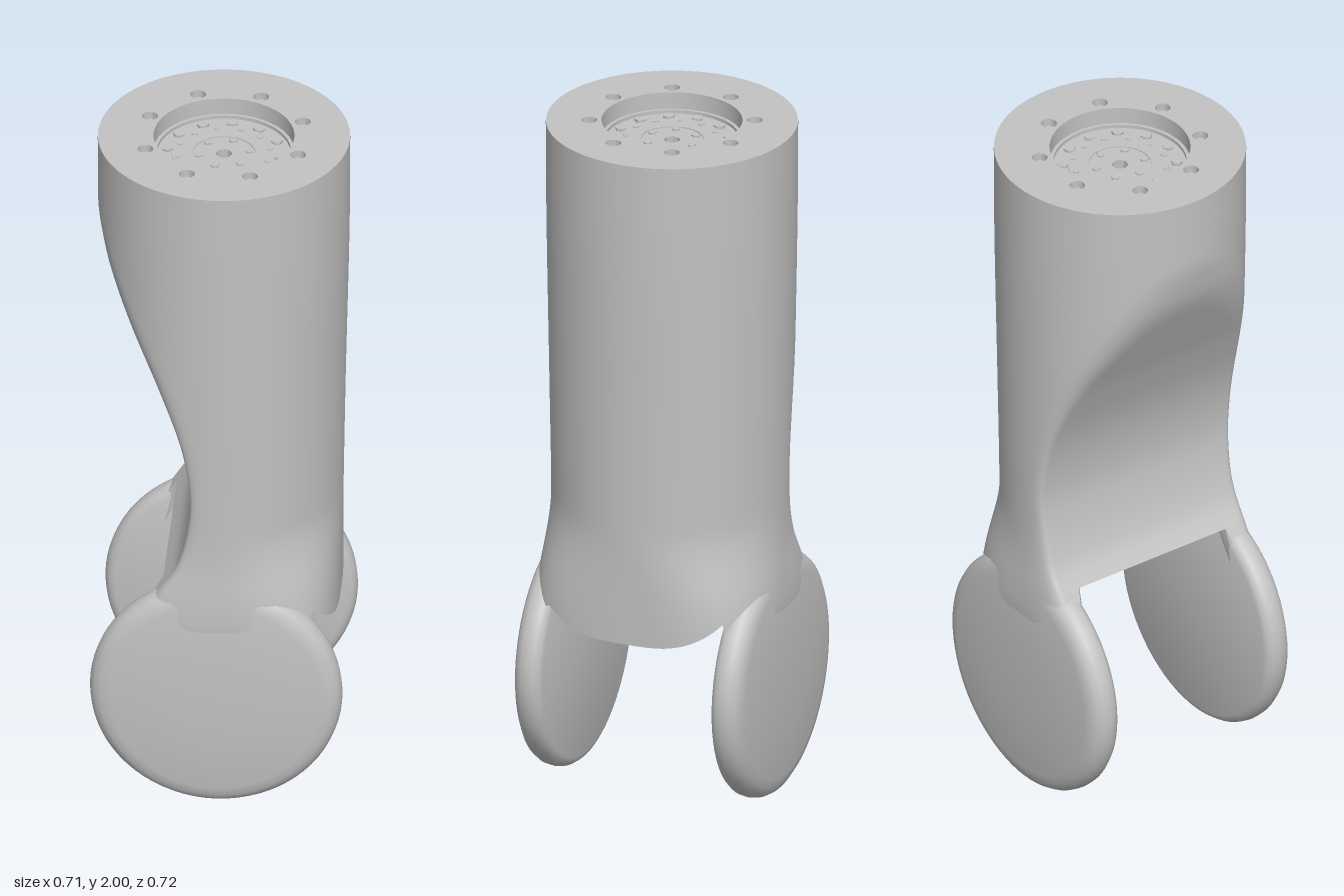
import * as THREE from 'three';
import { toCreasedNormals } from 'three/addons/utils/BufferGeometryUtils.js';

const grey = new THREE.MeshStandardMaterial({ color: 0xc2c2c2 });
grey.name = 'plain grey';

const AXIS_Y = 0.36, COLS = 160, ROWS = 72, LOW = 0.45;

// Smooth curve through [y, value] points
function curve(pts) {
  const slope = i => {
    const a = pts[Math.max(i - 1, 0)], b = pts[Math.min(i + 1, pts.length - 1)];
    return (b[1] - a[1]) / (b[0] - a[0]);
  };
  return y => {
    let i = 0;
    while (i < pts.length - 2 && y > pts[i + 1][0]) i++;
    const [y0, v0] = pts[i], [y1, v1] = pts[i + 1], h = y1 - y0;
    const t = THREE.MathUtils.clamp((y - y0) / h, 0, 1), t2 = t * t, t3 = t2 * t;
    return (2 * t3 - 3 * t2 + 1) * v0 + (t3 - 2 * t2 + t) * h * slope(i)
      + (3 * t2 - 2 * t3) * v1 + (t3 - t2) * h * slope(i + 1);
  };
}

// Sleeve rules: half width, half depth and the scooped side
const halfX = curve([[0.4, 0.328], [0.6, 0.332], [1.2, 0.342], [1.7, 0.353], [2, 0.355]]);
const halfZ = curve([[0.4, 0.335], [0.5, 0.345], [0.58, 0.353], [0.66, 0.351], [0.77, 0.342],
  [0.88, 0.34], [1.2, 0.345], [1.7, 0.353], [2, 0.355]]);
const scoop = curve([[0.4, -0.25], [0.6, -0.21], [0.685, -0.16], [0.76, -0.112], [0.88, -0.08],
  [1, -0.072], [1.16, -0.1], [1.34, -0.17], [1.5, -0.25], [1.66, -0.33], [1.74, -0.365],
  [1.85, -0.43], [2, -0.52]]);

function smoothMax(a, b, k) {
  const h = Math.max(k - Math.abs(a - b), 0) / k;
  return Math.max(a, b) + h * h * k / 4;
}

// Point on the sleeve, inset by the wall thickness
function sleevePoint(angle, y, inset) {
  const c = Math.cos(angle), s = Math.sin(angle);
  const n = 3.2 - 1.2 * THREE.MathUtils.smoothstep(y, 0.52, 0.88);
  const k = Math.pow(Math.abs(c) ** n + Math.abs(s) ** n, -1 / n);
  const x = smoothMax(c * k * (halfX(y) - inset), scoop(y) + inset, 0.05);
  return [x, y, s * k * (halfZ(y) - inset)];
}

// Lower edge follows a round clearance between the cheeks
function lowerEdge(angle, inset) {
  if (Math.abs(sleevePoint(angle, 0.6, inset)[2]) > 0.275) return LOW;
  let y = 0.65;
  for (let i = 0; i < 14; i++) {
    const x = sleevePoint(angle, y, inset)[0];
    y = (y + AXIS_Y + Math.sqrt(Math.max(0, 0.37 ** 2 - x * x))) / 2;
  }
  return y;
}

function buildGeometry(position, index) {
  const g = new THREE.BufferGeometry();
  g.setAttribute('position', new THREE.Float32BufferAttribute(position, 3));
  g.setIndex(index);
  g.computeVertexNormals();
  return g;
}

function sleeveWall(inset, inward) {
  const pos = [], idx = [];
  const angles = Array.from({ length: COLS }, (_, j) => j / COLS * Math.PI * 2);
  const edge = angles.map(a => lowerEdge(a, inset));
  for (let i = 0; i <= ROWS; i++) {
    const level = 2 + (LOW - 2) * i / ROWS;
    angles.forEach((a, j) => pos.push(...sleevePoint(a, Math.max(level, edge[j]), inset)));
  }
  for (let i = 0; i < ROWS; i++) {
    for (let j = 0; j < COLS; j++) {
      const a = i * COLS + j, b = i * COLS + (j + 1) % COLS, c = a + COLS, d = b + COLS;
      if (inward) idx.push(a, c, b, b, c, d);
      else idx.push(a, b, c, b, d, c);
    }
  }
  return buildGeometry(pos, idx);
}

// Lip joining the outer and inner walls along the lower edge
function sleeveLip(inset) {
  const pos = [], idx = [];
  for (const t of [0, inset]) {
    for (let j = 0; j < COLS; j++) {
      const a = j / COLS * Math.PI * 2;
      pos.push(...sleevePoint(a, lowerEdge(a, t), t));
    }
  }
  for (let j = 0; j < COLS; j++) {
    const k = (j + 1) % COLS;
    idx.push(j, k, j + COLS, k, k + COLS, j + COLS);
  }
  return buildGeometry(pos, idx);
}

// Round plate with round holes given as [x, z, radius]
function plate(radius, holes, bottom, top) {
  const shape = new THREE.Shape().absarc(0, 0, radius, 0, Math.PI * 2);
  for (const [x, z, r] of holes) {
    shape.holes.push(new THREE.Path().absarc(x, -z, r, 0, Math.PI * 2, true));
  }
  const g = new THREE.ExtrudeGeometry(shape, { depth: top - bottom, bevelEnabled: false, curveSegments: 48 });
  g.rotateX(-Math.PI / 2).translate(0, bottom, 0);
  return toCreasedNormals(g, 0.6);
}

function circle(count, radius, offsetDegrees) {
  return Array.from({ length: count }, (_, i) => {
    const a = (offsetDegrees + i * 360 / count) * Math.PI / 180;
    return [radius * Math.cos(a), -radius * Math.sin(a)];
  });
}

export function createModel() {
  const model = new THREE.Group();
  model.name = 'armLink';
  const add = (name, geometry, parent = model) => {
    const mesh = new THREE.Mesh(geometry, grey);
    mesh.name = name;
    parent.add(mesh);
  };

  // Hollow sleeve
  const wall = 0.025;
  add('sleeveOuter', sleeveWall(0, false));
  add('sleeveInner', sleeveWall(wall, true));
  add('sleeveLip', sleeveLip(wall));

  // Round joint cheeks
  const profile = [[0, 0.258], [0.328, 0.258], [0.343, 0.263], [0.353, 0.277], [0.356, 0.295],
    [0.353, 0.315], [0.343, 0.332], [0.325, 0.343], [0.3, 0.348], [0.15, 0.356], [0, 0.36]]
    .map(p => new THREE.Vector2(...p));
  for (const side of [1, -1]) {
    const g = toCreasedNormals(new THREE.LatheGeometry(profile, 72), 0.7);
    g.rotateX(side * Math.PI / 2).translate(0, AXIS_Y, 0);
    add(side > 0 ? 'frontCheek' : 'backCheek', g);
  }

  // End flange with a recess and counterbored screw holes
  const flange = new THREE.Group();
  flange.name = 'endFlange';
  model.add(flange);
  const screws = circle(8, 0.233, 22.5);
  add('flangeRing', plate(0.3545, [[0, 0, 0.198], ...screws.map(p => [...p, 0.022])], 1.94, 2), flange);
  add('recessLedge', plate(0.199, [[0, 0, 0.188]], 1.94, 1.95), flange);
  add('recessFloor', plate(0.34, [[0, 0, 0.022]], 1.9, 1.94), flange);
  add('boltPlate', plate(0.147, [[0, 0, 0.088]], 1.939, 1.943), flange);

  // Hex bolts
  const bolts = (name, places, radius, bottom, top) => {
    places.forEach(([x, z], i) => {
      const g = new THREE.CylinderGeometry(radius, radius, top - bottom, 6).toNonIndexed();
      g.computeVertexNormals();
      g.rotateY(i * 0.7).translate(x, (top + bottom) / 2, z);
      add(name, g, flange);
    });
  };
  bolts('flangeScrew', screws, 0.012, 1.94, 1.985);
  bolts('largeBolt', circle(12, 0.16, -4), 0.017, 1.939, 1.948);
  bolts('smallBolt', circle(12, 0.131, 13), 0.009, 1.939, 1.946);
  bolts('innerBolt', circle(6, 0.072, 13), 0.012, 1.939, 1.945);

  return model;
}
